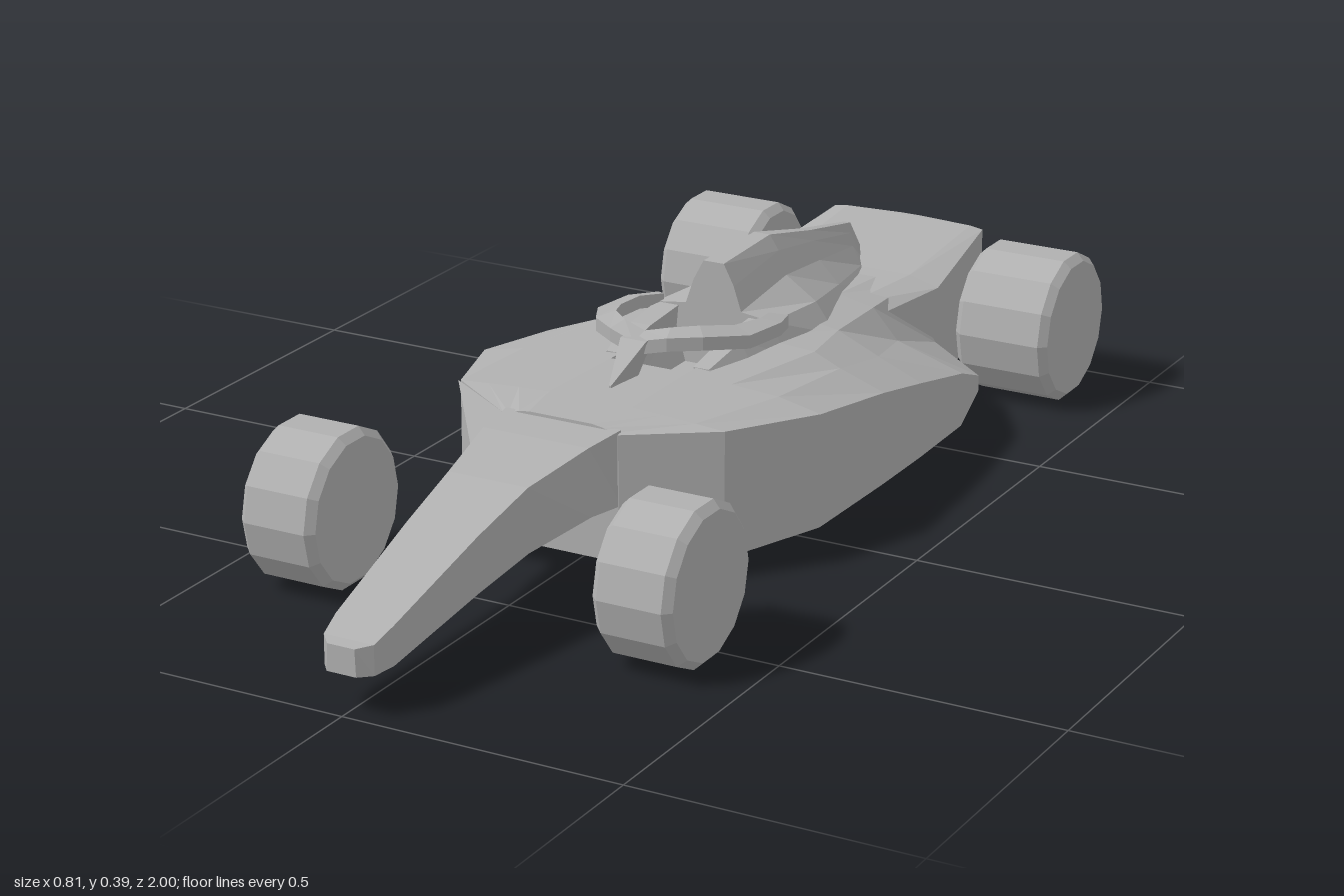
import * as THREE from 'three';

const grey = new THREE.MeshStandardMaterial({ color: 0xb0b0b0, flatShading: true, side: THREE.DoubleSide });
grey.name = 'plain grey';

function mesh(name, geometry) {
  const m = new THREE.Mesh(geometry, grey);
  m.name = name;
  return m;
}

function triangles(list) {
  const g = new THREE.BufferGeometry();
  g.setAttribute('position', new THREE.Float32BufferAttribute(list.flat(), 3));
  g.computeVertexNormals();
  return g;
}

// Joins closed rings running front to back and caps both ends; skip(i, j) leaves out a panel
function loft(rings, skip = () => false) {
  const out = [], n = rings[0].length, last = rings.length - 1;
  const quad = (a, b, c, d) => out.push(a, b, c, a, c, d);
  for (let i = 0; i < last; i++) {
    for (let j = 0; j < n; j++) {
      const k = (j + 1) % n;
      if (!skip(i, j)) quad(rings[i][j], rings[i][k], rings[i + 1][k], rings[i + 1][j]);
    }
  }
  for (let j = 0; j < n / 2 - 1; j++) {
    const a = rings[0], b = rings[last], p = n - 1 - j;
    quad(a[j], a[p], a[p - 1], a[j + 1]);
    quad(b[j], b[j + 1], b[p - 1], b[p]);
  }
  return triangles(out);
}

// Symmetric ring from the points of its left half, top to bottom
function ring(z, ...half) {
  const left = half.map(([x, y]) => [x, y, z]);
  return [...left, ...left.map(([x, y]) => [-x, y, z]).reverse()];
}

function wheel(name, x, z, width) {
  const r = 0.139, h = width / 2;
  const profile = [[0, -h], [r - 0.014, -h], [r, -h + 0.014], [r, h - 0.014], [r - 0.014, h], [0, h]];
  const g = new THREE.LatheGeometry(profile.map(([a, b]) => new THREE.Vector2(a, b)), 14);
  g.rotateZ(Math.PI / 2);
  const flat = g.toNonIndexed();
  flat.computeVertexNormals();
  const m = mesh(name, flat);
  m.position.set(x, r, z);
  return m;
}

export function createModel() {
  const car = new THREE.Group();
  car.name = 'racingCar';

  // Wheels
  for (const s of [-1, 1]) {
    const side = s > 0 ? 'Left' : 'Right';
    car.add(wheel('front' + side + 'Wheel', s * 0.332, 0.55, 0.144));
    car.add(wheel('rear' + side + 'Wheel', s * 0.312, -0.86, 0.184));
  }

  // Main body with sidepods falling to the rear; the deck is open at the cockpit
  const body = [
    [0.33, [0.06, 0.277], [0.08, 0.274], [0.1, 0.268], [0.11, 0.266]],
    [0.23, [0.08, 0.277], [0.14, 0.274], [0.2, 0.27], [0.255, 0.266]],
    [0.03, [0.075, 0.274], [0.16, 0.268], [0.25, 0.262], [0.33, 0.245]],
    [-0.2, [0.075, 0.27], [0.2, 0.262], [0.25, 0.24], [0.335, 0.21]],
    [-0.35, [0.08, 0.265], [0.17, 0.25], [0.25, 0.215], [0.335, 0.18]],
    [-0.53, [0.08, 0.25], [0.15, 0.235], [0.2, 0.18], [0.33, 0.14]],
    [-0.71, [0.08, 0.235], [0.13, 0.22], [0.19, 0.12], [0.28, 0.07]],
  ].map(([z, ...half]) => ring(z, ...half, [half[3][0], 0.04]));
  car.add(mesh('body', loft(body, (i, j) => i === 2 && j === body[0].length - 1)));

  // Cockpit tub
  const tub = [];
  const rim = [[0.075, 0.274, 0.03], [0.075, 0.27, -0.2], [-0.075, 0.27, -0.2], [-0.075, 0.274, 0.03]];
  const floor = rim.map(([x, , z]) => [x * 0.75, 0.2, z > 0 ? 0 : z]);
  for (let i = 0; i < 4; i++) {
    const k = (i + 1) % 4;
    tub.push(rim[i], floor[k], rim[k], rim[i], floor[i], floor[k]);
  }
  tub.push(floor[0], floor[1], floor[2], floor[0], floor[2], floor[3]);
  car.add(mesh('cockpitTub', triangles(tub)));

  // Nose
  car.add(mesh('nose', loft([
    ring(0.998, [0.025, 0.121], [0.027, 0.074]),
    ring(0.975, [0.046, 0.124], [0.046, 0.072]),
    ring(0.93, [0.053, 0.14], [0.053, 0.073]),
    ring(0.7, [0.066, 0.21], [0.066, 0.112]),
    ring(0.56, [0.075, 0.246], [0.075, 0.132]),
    ring(0.41, [0.1, 0.268], [0.105, 0.148]),
    ring(0.32, [0.11, 0.272], [0.11, 0.138]),
  ])));

  // Sloping gusset on the right of the nose
  car.add(mesh('noseGusset', triangles([[-0.26, 0.265, 0.23], [-0.115, 0.14, 0.4], [-0.11, 0.266, 0.33]])));

  // Rear block between the back wheels
  car.add(mesh('rearBlock', loft([
    ring(-0.52, [0.1, 0.235], [0.14, 0.21], [0.16, 0.04]),
    ring(-0.72, [0.13, 0.238], [0.188, 0.222], [0.188, 0.04]),
    ring(-0.98, [0.13, 0.26], [0.156, 0.256], [0.156, 0.04]),
    ring(-0.99, [0.02, 0.26], [0.03, 0.256], [0.03, 0.04]),
  ])));

  // Engine cover, air intake and fin
  car.add(mesh('engineCover', loft([
    ring(-0.2, [0.02, 0.393], [0.04, 0.355], [0.055, 0.31], [0.115, 0.302], [0.14, 0.25]),
    ring(-0.38, [0.016, 0.395], [0.034, 0.368], [0.05, 0.325], [0.11, 0.285], [0.15, 0.23]),
    ring(-0.55, [0.01, 0.354], [0.018, 0.335], [0.03, 0.3], [0.07, 0.26], [0.11, 0.2]),
    ring(-0.72, [0.006, 0.32], [0.008, 0.3], [0.012, 0.275], [0.03, 0.24], [0.06, 0.2]),
    ring(-0.77, [0.002, 0.262], [0.003, 0.25], [0.004, 0.24], [0.01, 0.225], [0.03, 0.2]),
  ])));

  // Raised cockpit sides
  for (const s of [-1, 1]) {
    const wall = [[0.0, 0.274, 0.1], [-0.1, 0.295, 0.108], [-0.2, 0.302, 0.115]].map(([z, y, x]) => {
      const r = [[0.07, y, z], [x, y, z], [x + 0.025, 0.25, z], [0.075, 0.25, z]];
      return s > 0 ? r : r.map(([a, b, c]) => [-a, b, c]).reverse();
    });
    car.add(mesh(s > 0 ? 'leftCockpitSide' : 'rightCockpitSide', loft(wall)));
  }

  // Protective hoop above the cockpit: inner and outer x and z, and top height
  const hoop = [
    [0, 0.045, 0, 0.085, 0.342],
    [0.045, 0.035, 0.055, 0.068, 0.352],
    [0.082, 0, 0.105, 0.03, 0.351],
    [0.112, -0.07, 0.15, -0.055, 0.336],
    [0.12, -0.15, 0.152, -0.165, 0.326],
    [0.105, -0.21, 0.13, -0.235, 0.315],
  ];
  for (const s of [-1, 1]) {
    const rings = hoop.map(([xi, zi, xo, zo, y]) => {
      const r = [[xi, y, zi], [xo, y - 0.008, zo], [xo, y - 0.032, zo], [xi, y - 0.024, zi]];
      return s > 0 ? r : r.map(([a, b, c]) => [-a, b, c]).reverse();
    });
    car.add(mesh(s > 0 ? 'leftHoop' : 'rightHoop', loft(rings)));
  }

  // Hoop pillar
  car.add(mesh('hoopPillar', loft([
    ring(0.165, [0.002, 0.28], [0.003, 0.265]),
    ring(0.085, [0.025, 0.338], [0.008, 0.27]),
    ring(0.055, [0.025, 0.338], [0.008, 0.3]),
  ])));

  return car;
}
